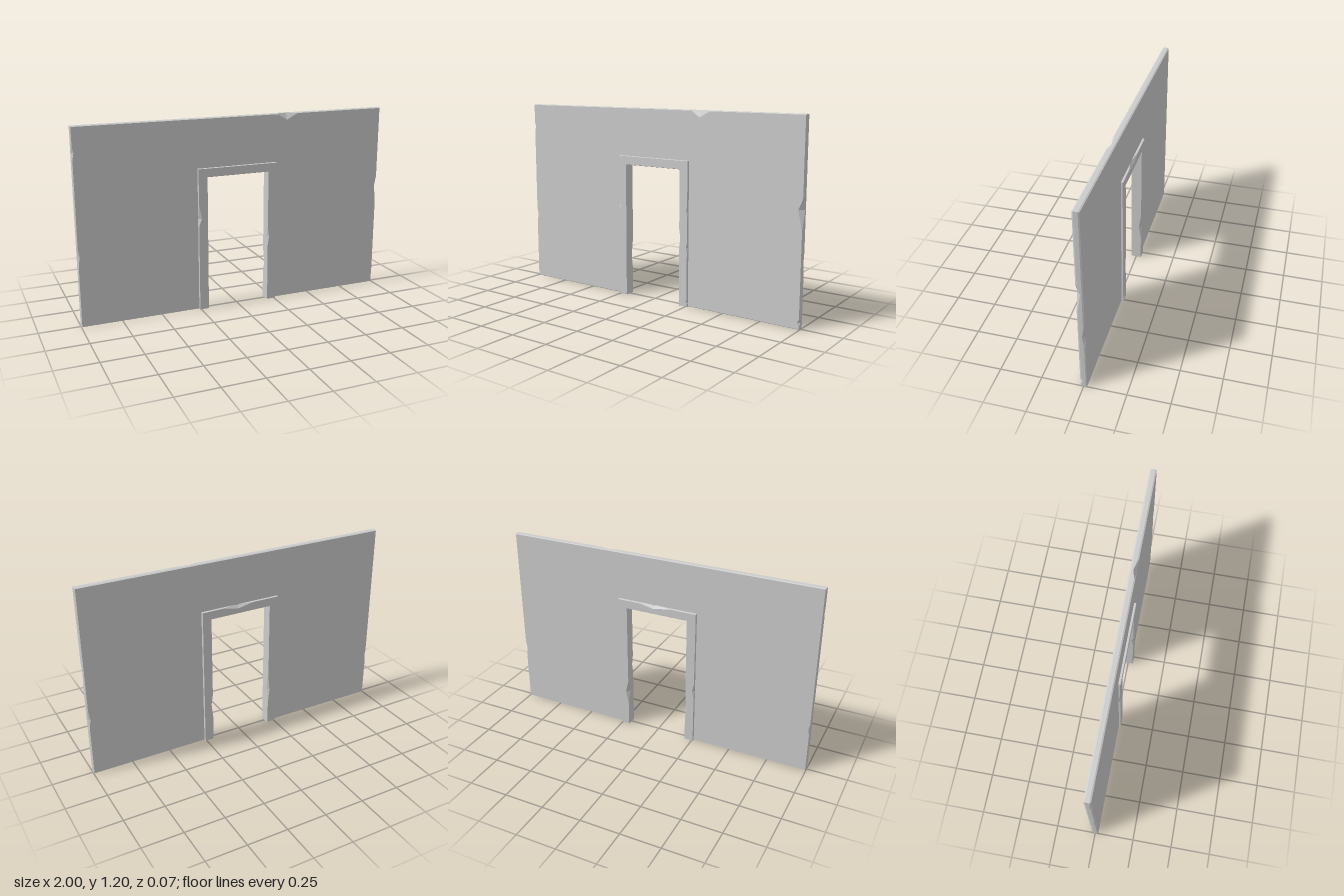
import * as THREE from 'three';

// Adds chip points along the edges of a counter-clockwise outline.
// chip: edge = index of the edge's first corner, at = distance along it, before/after = reach,
// side = 1 front or -1 back, inset = cut into the face, depth = cut into the rim.
// Chips on the same edge must not overlap.
function chippedOutline(corners, chips) {
  const points = [];
  corners.forEach(([x, y], i) => {
    const p = new THREE.Vector2(x, y);
    const dir = new THREE.Vector2(...corners[(i + 1) % corners.length]).sub(p).normalize();
    const place = (s, chip) => points.push({ pos: p.clone().addScaledVector(dir, s), chip });
    place(0);
    chips.filter(c => c.edge === i).sort((a, b) => a.at - b.at).forEach(c => {
      place(c.at - c.before);
      place(c.at, c);
      place(c.at + c.after);
    });
  });
  return points;
}

// Flat slab with a narrow bevel around both faces and worn nicks in its edges
function chippedSlab(name, corners, chips, halfDepth, bevel, bevelDepth) {
  const points = chippedOutline(corners, chips);
  const n = points.length;
  const rings = [[], [], [], []];
  const inwardNormal = (a, b) => {
    const d = b.clone().sub(a).normalize();
    return new THREE.Vector2(-d.y, d.x);
  };
  points.forEach(({ pos, chip }, i) => {
    const n1 = inwardNormal(points[(i + n - 1) % n].pos, pos);
    const n2 = inwardNormal(pos, points[(i + 1) % n].pos);
    const inward = n1.clone().add(n2).divideScalar(1 + n1.dot(n2));
    [1, -1].forEach(side => {
      const hit = chip && chip.side === side;
      const face = pos.clone().addScaledVector(inward, hit ? chip.inset : bevel);
      const rimZ = halfDepth - bevelDepth - (hit ? chip.depth : 0);
      rings[side > 0 ? 0 : 3].push(new THREE.Vector3(face.x, face.y, side * halfDepth));
      rings[side > 0 ? 1 : 2].push(new THREE.Vector3(pos.x, pos.y, side * rimZ));
    });
  });

  const vertices = [];
  const tri = (a, b, c) => [a, b, c].forEach(v => vertices.push(v.x, v.y, v.z));
  // Bevels and rim
  for (let r = 0; r < 3; r++) {
    for (let i = 0; i < n; i++) {
      const j = (i + 1) % n;
      tri(rings[r][i], rings[r + 1][i], rings[r + 1][j]);
      tri(rings[r][i], rings[r + 1][j], rings[r][j]);
    }
  }
  // Front and back faces
  [rings[0], rings[3]].forEach((ring, back) => {
    const flat = ring.map(v => new THREE.Vector2(v.x, v.y));
    THREE.ShapeUtils.triangulateShape(flat, []).forEach(([a, b, c]) => {
      if (back) tri(ring[a], ring[c], ring[b]);
      else tri(ring[a], ring[b], ring[c]);
    });
  });

  const geometry = new THREE.BufferGeometry();
  geometry.setAttribute('position', new THREE.Float32BufferAttribute(vertices, 3));
  geometry.computeVertexNormals();
  const mesh = new THREE.Mesh(geometry, new THREE.MeshStandardMaterial({ color: 0xcccccc, flatShading: true }));
  mesh.name = name;
  return mesh;
}

// Arch-shaped outline: a rectangle with a doorway cut up from the ground
const doorway = (outer, top, inner, innerTop) => [
  [inner, 0], [outer, 0], [outer, top], [-outer, top],
  [-outer, 0], [-inner, 0], [-inner, innerTop], [inner, innerTop],
];

const chip = (edge, at, before, after, side, inset, depth) => ({ edge, at, before, after, side, inset, depth });

export function createModel() {
  const group = new THREE.Group();
  group.name = 'doorwayWall';

  // Wall panel
  const wallChips = [
    chip(1, 0.04, 0.025, 0.02, 1, 0.015, 0.006),
    chip(1, 0.68, 0.12, 0.06, 1, 0.03, 0.016),
    chip(1, 0.38, 0.07, 0.06, -1, 0.012, 0.008),
    chip(2, 0.67, 0.07, 0.06, 1, 0.042, 0.012),
    chip(3, 0.15, 0.03, 0.04, 1, 0.012, 0.008),
    chip(3, 0.76, 0.05, 0.06, 1, 0.012, 0.008),
    chip(3, 0.9, 0.03, 0.05, -1, 0.01, 0.006),
  ];
  group.add(chippedSlab('wall', doorway(1, 1.2, 0.23, 0.87), wallChips, 0.02, 0.004, 0.008));

  // Door frame, standing proud of the wall on both sides
  const frameChips = [
    chip(1, 0.03, 0.02, 0.01, 1, 0.012, 0.01),
    chip(1, 0.37, 0.03, 0.03, 1, 0.008, 0.008),
    chip(1, 0.59, 0.03, 0.04, 1, 0.008, 0.008),
    chip(2, 0.24, 0.09, 0.1, -1, 0.022, 0.014),
    chip(3, 0.31, 0.09, 0.04, 1, 0.02, 0.012),
    chip(3, 0.53, 0.05, 0.05, -1, 0.014, 0.01),
    chip(5, 0.25, 0.1, 0.1, -1, 0.012, 0.014),
    chip(7, 0.42, 0.06, 0.06, 1, 0.01, 0.012),
    chip(7, 0.6, 0.08, 0.08, -1, 0.02, 0.02),
  ];
  group.add(chippedSlab('doorFrame', doorway(0.26, 0.9, 0.2, 0.845), frameChips, 0.034, 0.002, 0.003));

  return group;
}
